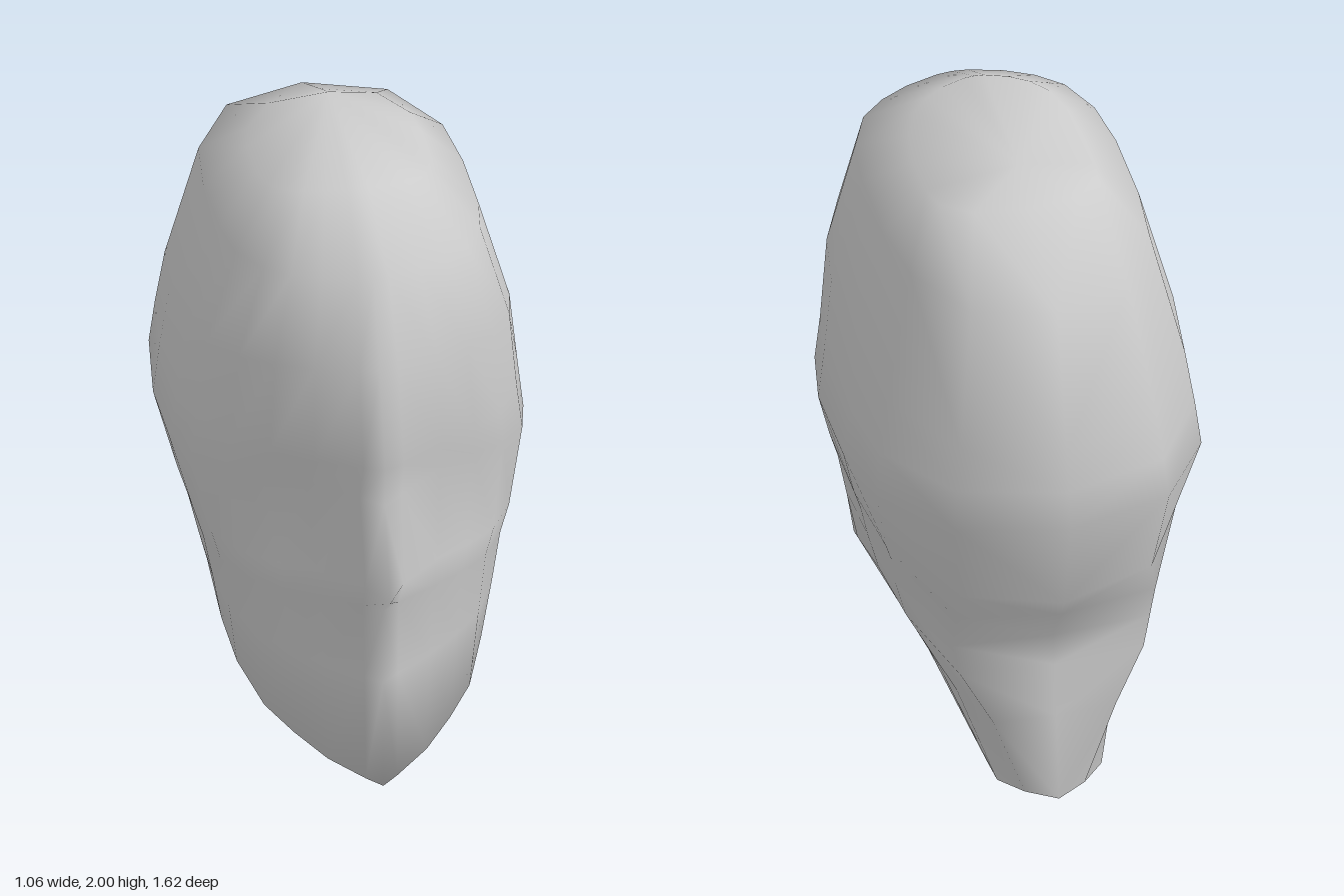
import * as THREE from 'three';

// Half outline from front to back: [x / halfWidth, z fraction in a wedge face, z fraction in a round skull]
const OUTLINE = [
  [0, 1, 1], [0.12, 0.965, 0.995], [0.38, 0.86, 0.95], [0.6, 0.72, 0.88], [0.79, 0.58, 0.77],
  [0.94, 0.37, 0.55], [1, 0.18, 0.25], [1, -0.19, -0.19], [0.94, -0.52, -0.52],
  [0.62, -0.87, -0.87], [0, -1, -1],
];
const EYE_DENT = [0, 0.3, 1, 1, 0.5];
const NOSE_RIDGE = [1, 0.45];

// Sections from crown to neck; y and z are given at front, side and back.
// round: fullness of the front, square: fullness of the back corners
const SECTIONS = [
  { y: [1.97, 1.89, 1.93], z: [0.28, -0.08, -0.35], w: 0.26, round: 1, bend: 2 },
  { y: [1.81, 1.765, 1.76], z: [0.53, -0.02, -0.66], w: 0.39, round: 0.9 },
  { y: [1.55, 1.41, 1.33], z: [0.63, -0.04, -0.77], w: 0.485, round: 0.45 },
  { y: [1.26, 1.18, 1.2], z: [0.72, -0.06, -0.79], w: 0.512, round: 0.1 }, // brow
  { y: [1.13, 1.01, 1.08], z: [0.67, -0.06, -0.81], w: 0.53, round: 0.25, ridge: 0.04, dent: 0.07 }, // eyes
  { y: [0.85, 0.83, 0.76], z: [0.65, 0.03, -0.74], w: 0.475, round: 0.45, ridge: 0.16 }, // nose tip
  { y: [0.75, 0.74, 0.69], z: [0.64, 0.05, -0.7], w: 0.447, round: 0.38, ridge: 0.05, square: 0.6 }, // upper lip
  { y: [0.5, 0.63, 0.55], z: [0.65, 0.06, -0.61], w: 0.42, round: 0.28, ridge: 0.04, square: 1 },
  { y: [0.14, 0.51, 0.45], z: [0.67, 0.04, -0.62], w: 0.39, round: 0.1, ridge: 0.02, square: 1 }, // jaw line
  { y: [0.14, 0.25, 0.28], z: [0.26, -0.2, -0.645], w: 0.26, round: 0.5, square: 1 }, // under the jaw
  { y: [0.02, 0.045, 0], z: [-0.31, -0.45, -0.68], w: 0.17, round: 0.6, square: -0.8 }, // neck end
];

function sectionRing({ y, z, w, round, ridge = 0, dent = 0, square = 0, bend = 1 }) {
  const half = OUTLINE.map(([u, wedge, full], i) => {
    let v = THREE.MathUtils.lerp(wedge, full, round);
    if (i === 9) {
      u += 0.1 * square;
      v -= 0.1 * square;
    }
    const end = v > 0 ? 0 : 2;
    const t = Math.abs(v);
    const pz = z[1] + (z[end] - z[1]) * t + ridge * (NOSE_RIDGE[i] ?? 0) - dent * (EYE_DENT[i] ?? 0);
    return [u * w, y[1] + (y[end] - y[1]) * t ** bend, pz];
  });
  const mirrored = half.slice(1, -1).reverse().map(([x, py, pz]) => [-x, py, pz]);
  return [...half, ...mirrored];
}

function meshFrom(points, index, name) {
  const geometry = new THREE.BufferGeometry();
  geometry.setAttribute('position', new THREE.Float32BufferAttribute(points.flat(), 3));
  geometry.setIndex(index);
  geometry.computeVertexNormals();
  const material = new THREE.MeshStandardMaterial({ color: 0xcccccc, side: THREE.DoubleSide });
  const mesh = new THREE.Mesh(geometry, material);
  mesh.name = name;
  return mesh;
}

export function createModel() {
  const group = new THREE.Group();
  group.name = 'head';
  const rings = SECTIONS.map(sectionRing);
  const n = rings[0].length;

  // Skull, face and neck as one smooth skin, closed by a point at the crown
  const points = rings.flat();
  const crown = points.length;
  points.push([0, 2, -0.22]);
  const index = [];
  for (let i = 0; i < n; i++) {
    const j = (i + 1) % n;
    index.push(crown, i, j);
    for (let r = 0; r < rings.length - 1; r++) {
      const a = r * n, b = a + n;
      // Mirror the diagonal so both halves match
      if (i < n / 2) index.push(a + i, b + i, b + j, a + i, b + j, a + j);
      else index.push(a + i, b + i, a + j, b + i, b + j, a + j);
    }
  }
  group.add(meshFrom(points, index, 'headSkin'));

  // Flat end of the neck
  const base = [...rings[rings.length - 1], [0, 0.03, -0.48]];
  const fan = [];
  for (let i = 0; i < n; i++) fan.push(n, (i + 1) % n, i);
  group.add(meshFrom(base, fan, 'neckEnd'));
  return group;
}
